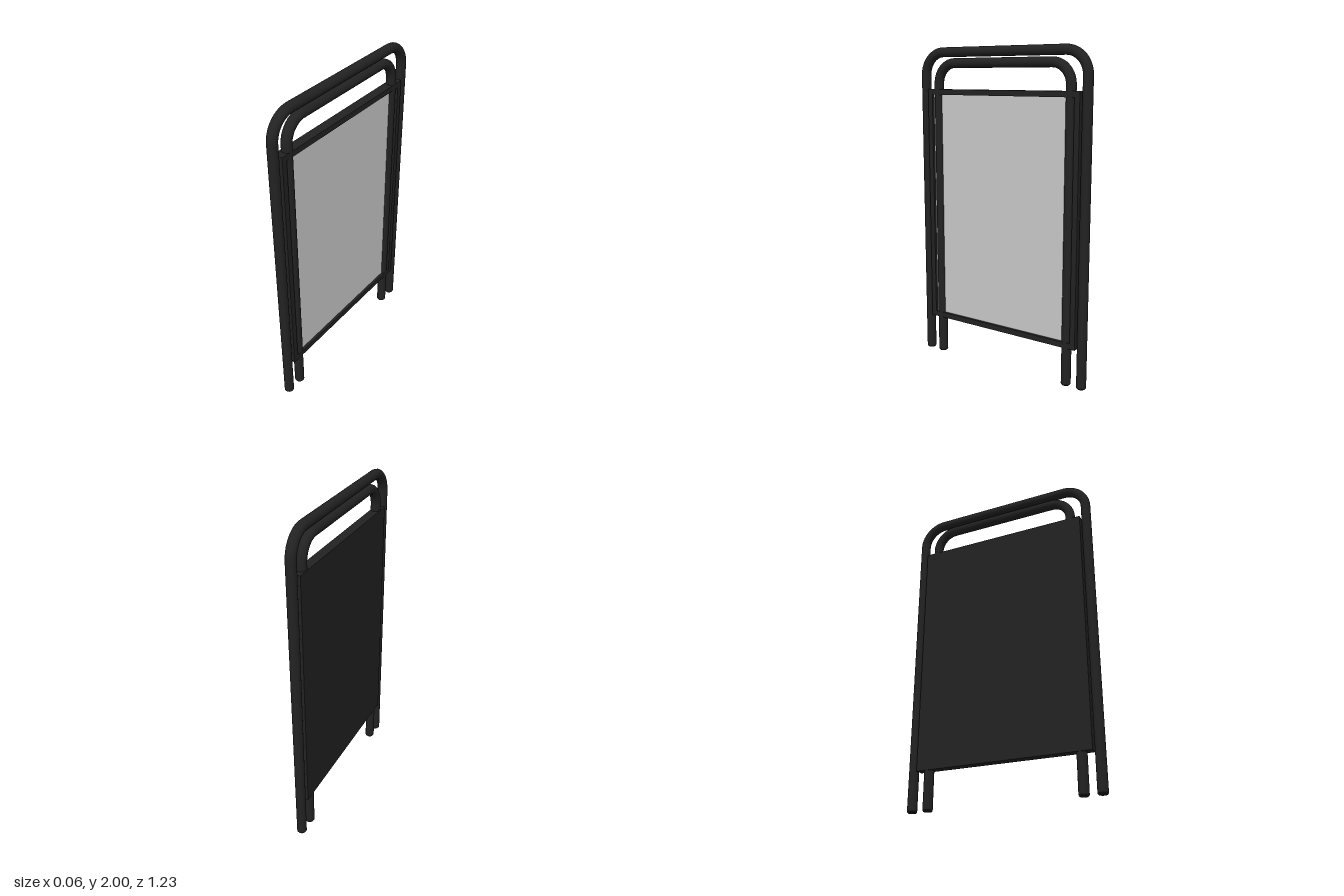
import * as THREE from 'three';

const black = new THREE.MeshStandardMaterial({ color: 0x222222 });
black.name = 'black steel';
const grey = new THREE.MeshStandardMaterial({ color: 0xc8c8c8 });
grey.name = 'light grey panel';

const R = 0.03; // tube radius

function add(parent, name, geometry, material, x, y, z) {
  const mesh = new THREE.Mesh(geometry, material);
  mesh.name = name;
  mesh.position.set(x, y, z);
  parent.add(mesh);
  return mesh;
}

// Upside-down U of round tube in the z-y plane
function hoop(name, halfWidth, top, bend) {
  const group = new THREE.Group();
  group.name = name;
  const legHeight = top - bend;
  const inset = halfWidth - bend;
  for (const side of [-1, 1]) {
    add(group, 'leg', new THREE.CylinderGeometry(R, R, legHeight - 0.008, 20), black,
      0, legHeight / 2 + 0.004, side * halfWidth);
    // Slightly bevelled foot
    add(group, 'foot', new THREE.CylinderGeometry(R, R - 0.006, 0.008, 20), black,
      0, 0.004, side * halfWidth);
    const corner = add(group, 'bend',
      new THREE.TorusGeometry(bend, R, 20, 10, Math.PI / 2), black,
      0, legHeight, side * inset);
    corner.rotation.y = -side * Math.PI / 2;
  }
  const bar = add(group, 'topTube', new THREE.CylinderGeometry(R, R, inset * 2, 20), black, 0, top, 0);
  bar.rotation.x = Math.PI / 2;
  return group;
}

export function createModel() {
  const model = new THREE.Group();
  model.name = 'signStand';

  model.add(hoop('outerHoop', 0.583, 1.97, 0.14));
  model.add(hoop('innerHoop', 0.478, 1.903, 0.125));

  // Rectangular frame around the panel
  const frame = new THREE.Group();
  frame.name = 'panelFrame';
  const halfZ = 0.548, low = 0.24, high = 1.743, bar = 0.034, depth = 0.056;
  const midY = (low + high) / 2;
  for (const y of [low + bar / 2, high - bar / 2]) {
    add(frame, 'crossBar', new THREE.BoxGeometry(depth, bar, halfZ * 2), black, 0, y, 0);
  }
  for (const side of [-1, 1]) {
    add(frame, 'sideBar', new THREE.BoxGeometry(depth, high - low - bar * 2, bar), black,
      0, midY, side * (halfZ - bar / 2));
  }
  model.add(frame);

  // Light face on one side, closed black back on the other
  const w = (halfZ - bar) * 2, h = high - low - bar * 2;
  add(model, 'displayPanel', new THREE.BoxGeometry(0.008, h, w), grey, 0.006, midY, 0);
  add(model, 'backPanel', new THREE.BoxGeometry(0.03, h, w), black, -0.0135, midY, 0);
  add(model, 'backSheet', new THREE.BoxGeometry(0.004, high - low, halfZ * 2), black, -0.029, midY, 0);

  return model;
}
